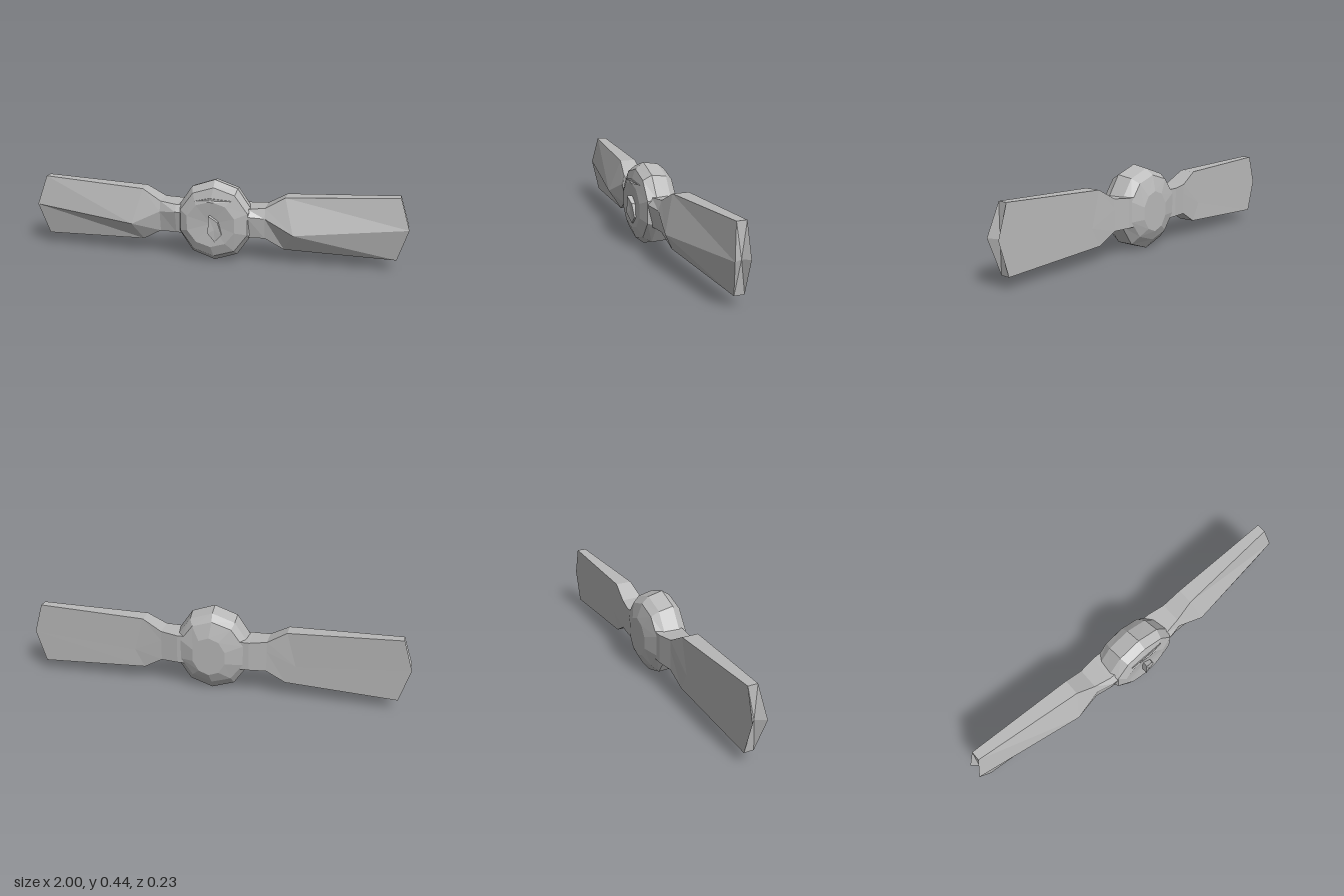
import * as THREE from 'three';

// Skins a list of equal-length point rings; each end is closed with a fan to a centre point.
function loft(rings, firstDepth = 0) {
  const pos = [];
  const tri = (...pts) => pts.forEach((p) => pos.push(...p));
  const centre = (r) => [0, 1, 2].map((k) => r.reduce((s, p) => s + p[k], 0) / r.length);
  const n = rings[0].length;
  const last = rings[rings.length - 1];
  const c0 = centre(rings[0]);
  c0[2] -= firstDepth;
  const c1 = centre(last);
  for (let j = 0; j < n; j++) {
    const k = (j + 1) % n;
    tri(c0, rings[0][j], rings[0][k]);
    tri(c1, last[k], last[j]);
    for (let i = 0; i < rings.length - 1; i++) {
      const a = rings[i][j], b = rings[i][k], c = rings[i + 1][k], d = rings[i + 1][j];
      tri(a, d, b);
      tri(b, d, c);
    }
  }
  const g = new THREE.BufferGeometry();
  g.setAttribute('position', new THREE.Float32BufferAttribute(pos, 3));
  g.computeVertexNormals();
  return g;
}

export function createModel() {
  const model = new THREE.Group();
  const grey = new THREE.MeshStandardMaterial({ color: 0xb8b8b8, flatShading: true });
  grey.name = 'stone grey';
  const add = (name, geometry) => {
    const mesh = new THREE.Mesh(geometry, grey);
    mesh.name = name;
    model.add(mesh);
  };

  // Faceted hub: ten-sided rings from front to back, each [z, xMin, xMax, yMin, yMax]
  const hubRings = [
    [0.095, -0.12, 0.13, 0.09, 0.335],
    [0.075, -0.16, 0.195, 0.035, 0.405],
    [0.03, -0.18, 0.21, 0.0, 0.437],
    [-0.05, -0.18, 0.2, 0.0, 0.422],
    [-0.09, -0.16, 0.17, 0.05, 0.39],
    [-0.115, -0.07, 0.1, 0.1, 0.31],
  ].map(([z, x0, x1, y0, y1]) => Array.from({ length: 10 }, (_, i) => {
    const a = Math.PI / 2 + (i * Math.PI) / 5;
    return [
      (x0 + x1) / 2 + ((x1 - x0) / 2) * Math.cos(a) / 0.951,
      (y0 + y1) / 2 + ((y1 - y0) / 2) * Math.sin(a),
      z,
    ];
  }));
  add('hub', loft(hubRings, 0.012));

  // Blades: ridged front, flat back, narrow neck running through the hub
  // [edge x, top y, bottom y, ridge x, ridge y, front edge z, ridge z, back z]
  const half = [
    [0.95, 0.385, 0.057, 1.0, 0.228, -0.022, 0.004, -0.072],
    [0.38, 0.36, 0.082, 0.43, 0.178, 0.02, 0.076, -0.066],
    [0.28, 0.303, 0.14, 0.28, 0.25, 0.035, 0.052, -0.075],
    [0.19, 0.295, 0.142, 0.19, 0.26, 0.05, 0.075, -0.09],
  ];
  const section = (s) => ([xe, top, bottom, xm, ym, zf, zr, zb]) => [
    [s * xe, top, zf],
    [s * xm, ym, zr],
    [s * xe, bottom, zf],
    [s * xe, bottom, zb],
    [s * xm, ym, zb],
    [s * xe, top, zb],
  ];
  add('blades', loft([...half.map(section(1)), ...half.slice().reverse().map(section(-1))]));

  // Small chipped boss on the hub's face
  const boss = [
    [0.0, 0.262, 0.115],
    [-0.004, 0.17, 0.117],
    [0.03, 0.12, 0.1],
    [0.065, 0.16, 0.098],
    [0.045, 0.23, 0.106],
  ];
  add('boss', loft([boss, boss.map(([x, y]) => [x, y, 0.07])]));

  // Shallow brow ledge above the boss
  const brow = [
    [0.115, 0.342, 0.088],
    [0.0, 0.352, 0.095],
    [-0.08, 0.332, 0.092],
    [0.03, 0.332, 0.1],
  ];
  add('brow', loft([brow, brow.map(([x, y]) => [x, y, 0.06])]));

  return model;
}
